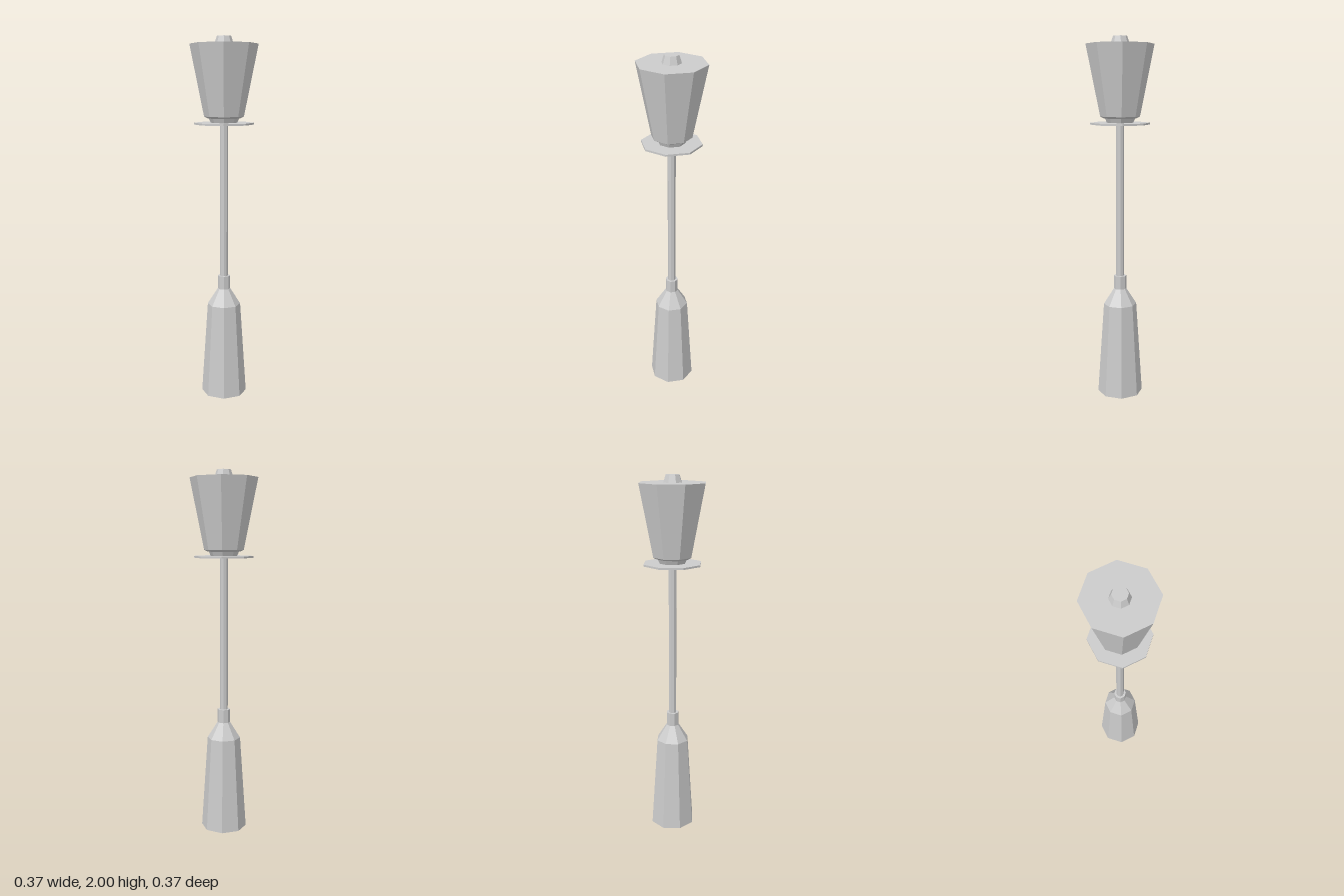
import * as THREE from 'three';

const SIDES = 8;

export function createModel() {
  const group = new THREE.Group();
  const material = new THREE.MeshStandardMaterial({ color: 0xcccccc, flatShading: true });

  // Adds a faceted turned part from [radius, height] points, bottom to top.
  function addTurned(name, points) {
    const profile = points.map(([r, y]) => new THREE.Vector2(r, y));
    profile.unshift(new THREE.Vector2(0, points[0][1]));
    profile.push(new THREE.Vector2(0, points[points.length - 1][1]));
    const mesh = new THREE.Mesh(new THREE.LatheGeometry(profile, SIDES), material);
    mesh.name = name;
    group.add(mesh);
  }

  // Tapered foot with a shoulder and a short neck
  addTurned('base', [[0.127, 0], [0.092, 0.525], [0.035, 0.615], [0.035, 0.69]]);

  // Slim post
  addTurned('pole', [[0.022, 0.68], [0.022, 1.54]]);

  // Thin plate below the lantern
  addTurned('plate', [[0.162, 1.535], [0.162, 1.545]]);

  // Collar carrying the lantern
  addTurned('collar', [[0.072, 1.545], [0.084, 1.572]]);

  // Lantern body, widening upward, with a bevelled lower rim
  addTurned('lantern', [[0.088, 1.568], [0.108, 1.578], [0.184, 1.96]]);

  // Small tapered cap
  addTurned('cap', [[0.051, 1.96], [0.038, 2]]);

  return group;
}
